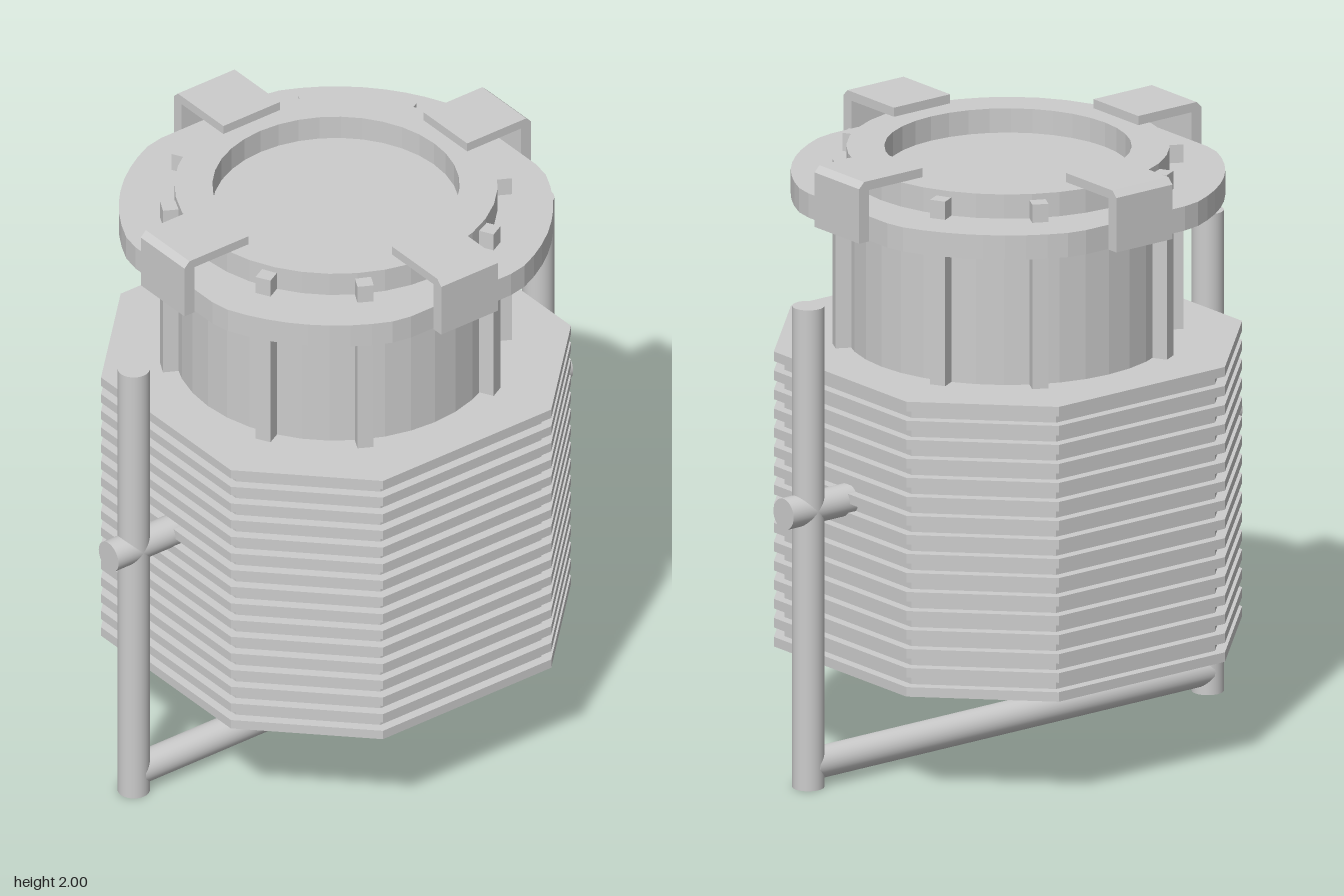
import * as THREE from 'three';

const grey = new THREE.MeshStandardMaterial({ color: 0xcccccc });
const flat = new THREE.MeshStandardMaterial({ color: 0xcccccc, flatShading: true });

function add(parent, name, geometry, material = grey) {
  const mesh = new THREE.Mesh(geometry, material);
  mesh.name = name;
  parent.add(mesh);
  return mesh;
}

// Horizontal slab from an outline, bottom at y0
function slab(points, y0, height) {
  const shape = new THREE.Shape(points);
  const g = new THREE.ExtrudeGeometry(shape, { depth: height, bevelEnabled: false });
  return g.rotateX(-Math.PI / 2).translate(0, y0, 0);
}

// Square with chamfered corners: half size a, half flat length b
function octagon(a, b) {
  return [[a, -b], [a, b], [b, a], [-b, a], [-a, b], [-a, -b], [-b, -a], [b, -a]]
    .map(([x, y]) => new THREE.Vector2(x, y));
}

// Circle with four sides trimmed flat
function trimmedCircle(radius, limit, count) {
  const clamp = v => THREE.MathUtils.clamp(v, -limit, limit);
  return Array.from({ length: count }, (_, i) => {
    const a = (i / count) * Math.PI * 2;
    return new THREE.Vector2(clamp(radius * Math.cos(a)), clamp(radius * Math.sin(a)));
  });
}

export function createModel() {
  const model = new THREE.Group();
  model.name = 'finnedCanister';

  // Cup: closed below, recessed floor above
  const cup = [[0, 0.325], [0.51, 0.325], [0.51, 1.96], [0.39, 1.96], [0.39, 1.67], [0, 1.67]]
    .map(([x, y]) => new THREE.Vector2(x, y));
  add(model, 'cup', new THREE.LatheGeometry(cup, 36), flat);

  // Stack of cooling fins around a slightly smaller core
  const fins = new THREE.Group();
  fins.name = 'coolingFins';
  model.add(fins);
  add(fins, 'finCore', slab(octagon(0.645, 0.32), 0.36, 0.96));
  const layer = 0.975 / 31;
  for (let i = 0; i < 16; i++) {
    add(fins, 'fin', slab(octagon(0.677, 0.335), 0.355 + i * 2 * layer, layer));
  }

  // Collar
  add(model, 'collar', slab(trimmedCircle(0.685, 0.645, 64), 1.8, 0.08));

  // Vertical ribs, two in each quarter
  for (let q = 0; q < 4; q++) {
    for (const offset of [28, 62]) {
      const pivot = new THREE.Group();
      pivot.name = 'ribMount';
      pivot.rotation.y = THREE.MathUtils.degToRad(q * 90 + offset);
      model.add(pivot);
      add(pivot, 'rib', new THREE.BoxGeometry(0.065, 1.595, 0.052)).position.set(0.525, 1.1425, 0);
    }
  }

  // Hook brackets over the rim
  const hook = new THREE.Shape([
    [0.435, 1.97], [0.65, 1.97], [0.65, 1.8], [0.69, 1.8],
    [0.69, 1.98], [0.67, 2], [0.435, 2],
  ].map(([x, y]) => new THREE.Vector2(x, y)));
  const hookGeometry = new THREE.ExtrudeGeometry(hook, { depth: 0.226, bevelEnabled: false });
  hookGeometry.translate(0, 0, -0.113);
  for (let i = 0; i < 4; i++) {
    add(model, 'rimBracket', hookGeometry).rotation.y = i * Math.PI / 2;
  }

  // Front and back posts with short mounting pins
  for (const side of [1, -1]) {
    const post = new THREE.CylinderGeometry(0.051, 0.051, 1.59, 32);
    add(model, 'post', post).position.set(0, 0.795, side * 0.805);
    const pin = new THREE.CylinderGeometry(0.051, 0.051, 0.28, 32).rotateX(Math.PI / 2);
    add(model, 'mountingPin', pin).position.set(0, 0.92, side * 0.765);
  }

  // Bar joining the feet of the posts
  const bar = new THREE.CylinderGeometry(0.051, 0.051, 1.59, 32).rotateX(Math.PI / 2);
  add(model, 'footBar', bar).position.set(0, 0.072, 0);

  return model;
}
